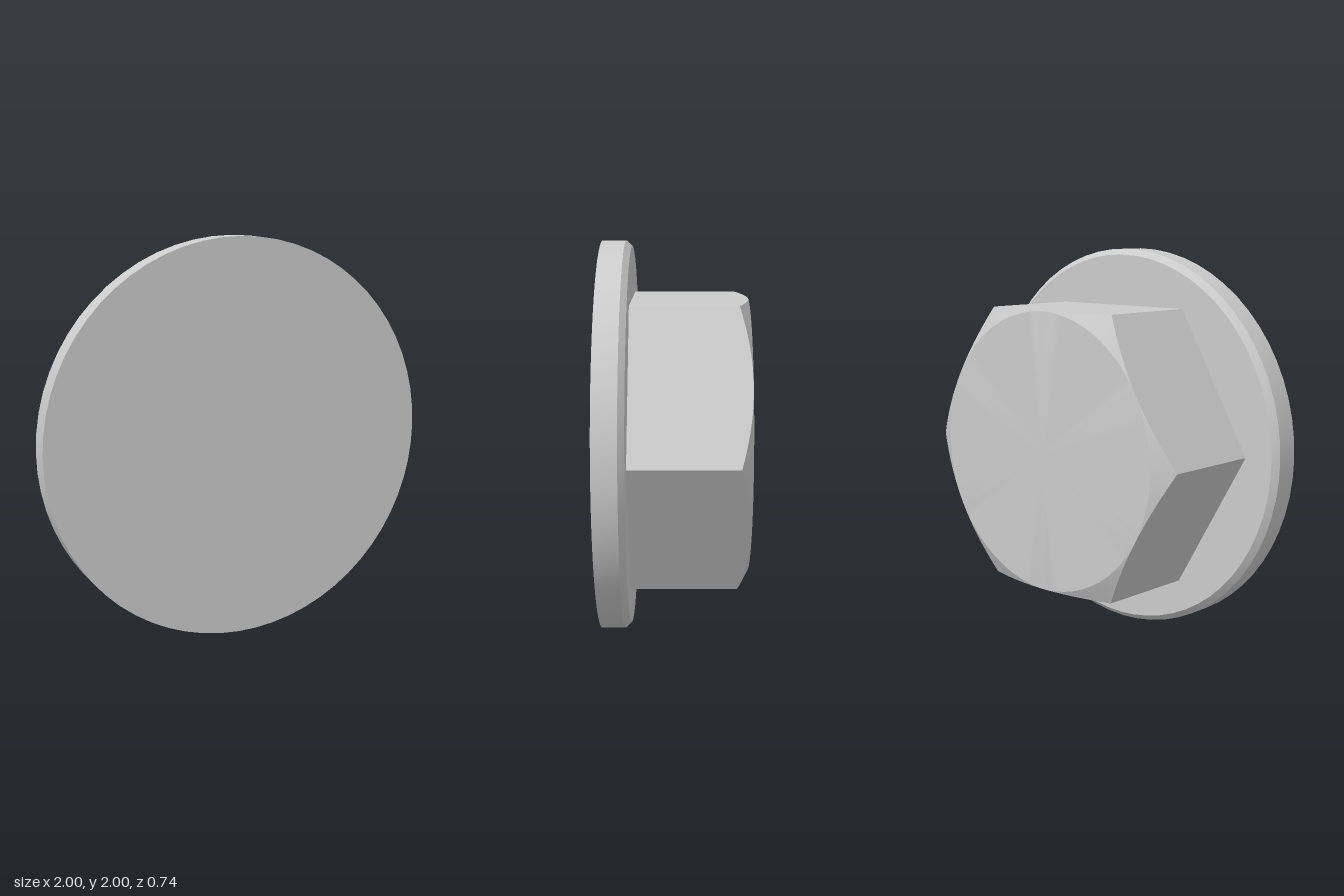
import * as THREE from 'three';
import { toCreasedNormals } from 'three/addons/utils/BufferGeometryUtils.js';

const FLAT = 0.708; // centre to flat of the hexagon
const CORNER = FLAT / Math.cos(Math.PI / 6);
const BACK = -0.37, EDGE = -0.31; // head's end face, and the chamfer depth at the corners

// Turned solid whose axis lies along z; profile is [radius, z] from back to front
function turned(profile, segments) {
  const points = profile.map(([r, z]) => new THREE.Vector2(r, z));
  return new THREE.LatheGeometry(points, segments);
}

// Squeeze the side of a turned solid into a hexagon and follow the conical chamfer
function makeHexagonal(geometry) {
  const p = geometry.attributes.position;
  const sector = Math.PI / 3;
  for (let i = 0; i < p.count; i++) {
    const x = p.getX(i), y = p.getY(i), z = p.getZ(i);
    if (Math.hypot(x, z) < FLAT) continue; // end face stays round
    const angle = Math.atan2(x, z);
    const r = FLAT / Math.cos(angle - Math.round(angle / sector) * sector);
    const onChamfer = y < EDGE + 0.001;
    const depth = BACK + (EDGE - BACK) * (r - FLAT) / (CORNER - FLAT);
    p.setXYZ(i, r * Math.sin(angle), onChamfer ? depth : y, r * Math.cos(angle));
  }
  return geometry;
}

export function createModel() {
  const group = new THREE.Group();
  const material = new THREE.MeshStandardMaterial({ color: 0xcccccc });

  function add(name, geometry) {
    geometry.rotateX(Math.PI / 2);
    const mesh = new THREE.Mesh(toCreasedNormals(geometry, 0.35), material);
    mesh.name = name;
    mesh.position.y = 1;
    group.add(mesh);
  }

  // Round flange with a small chamfer on its back rim
  add('flange', turned([[0, 0.22], [0.97, 0.22], [1, 0.25], [1, 0.37], [0, 0.37]], 64));

  // Hexagonal head with chamfered corners
  add('hexHead', makeHexagonal(turned(
    [[0, BACK], [FLAT - 0.002, BACK], [CORNER, EDGE], [CORNER, 0.22]], 96)));

  return group;
}
